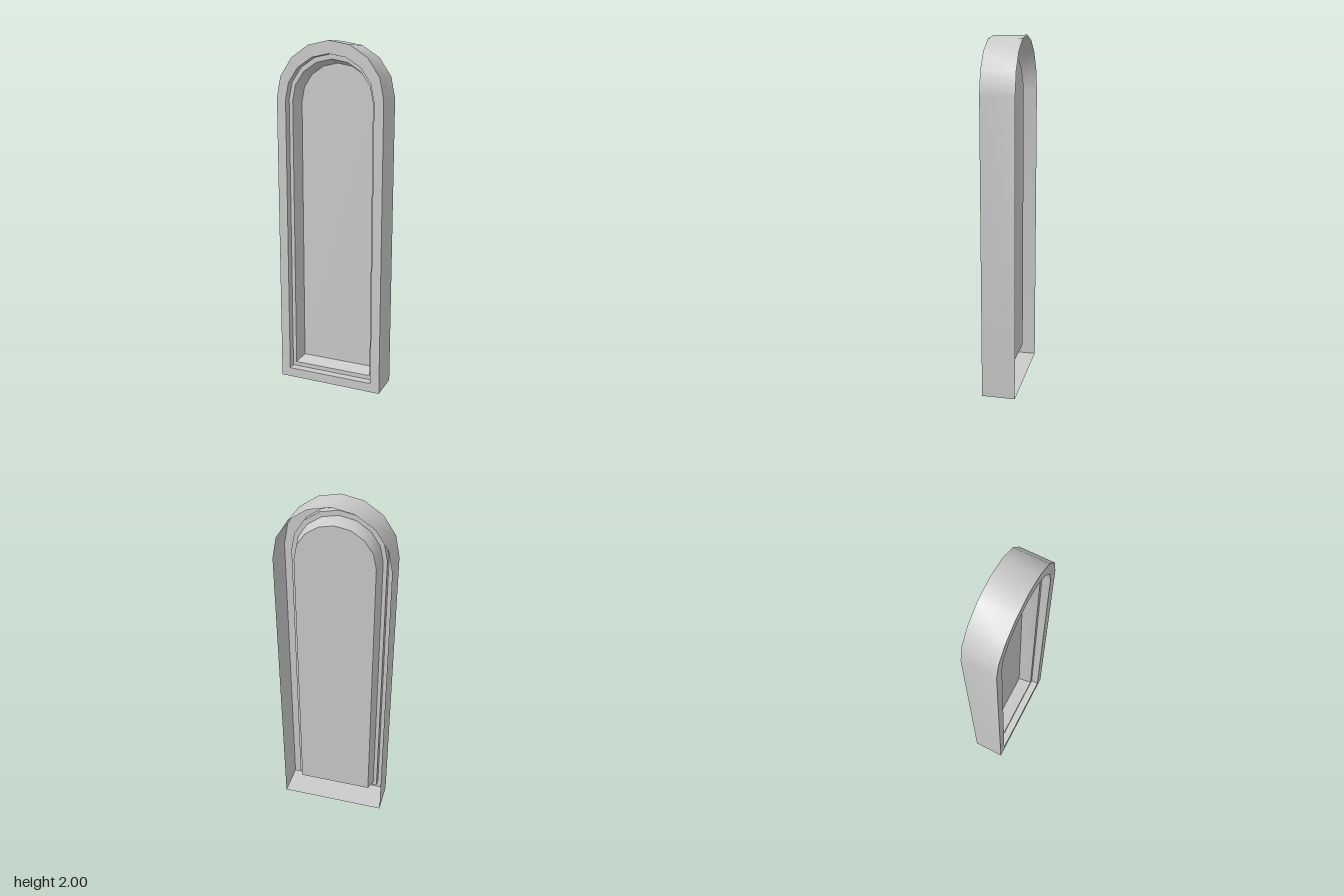
import * as THREE from 'three';
import { toCreasedNormals } from 'three/addons/utils/BufferGeometryUtils.js';

const SEGMENTS = 8;
const material = new THREE.MeshStandardMaterial({ color: 0xcccccc, side: THREE.DoubleSide });

// Arched outline, counter-clockwise from the lower left corner
function archOutline({ halfWidth, bottom, spring, top }) {
  const points = [new THREE.Vector2(-halfWidth, bottom), new THREE.Vector2(halfWidth, bottom)];
  for (let i = 0; i <= SEGMENTS; i++) {
    const a = (Math.PI * i) / SEGMENTS;
    points.push(new THREE.Vector2(halfWidth * Math.cos(a), spring + (top - spring) * Math.sin(a)));
  }
  return points;
}

// Skin joining a series of outlines, each at its own depth
function loftMesh(name, sections) {
  const positions = [];
  const indices = [];
  const n = SEGMENTS + 3;
  sections.forEach(({ arch, z }, k) => {
    archOutline(arch).forEach((p, i) => {
      positions.push(p.x, p.y, z);
      if (k === sections.length - 1) return;
      const a = k * n + i;
      const b = k * n + ((i + 1) % n);
      indices.push(a, b, b + n, a, b + n, a + n);
    });
  });
  const geometry = new THREE.BufferGeometry();
  geometry.setAttribute('position', new THREE.Float32BufferAttribute(positions, 3));
  geometry.setIndex(indices);
  const mesh = new THREE.Mesh(toCreasedNormals(geometry, 0.5), material);
  mesh.name = name;
  return mesh;
}

export function createModel() {
  const group = new THREE.Group();
  group.name = 'archedWindow';

  const outer = { halfWidth: 0.316, bottom: 0, spring: 1.69, top: 2 };
  const rim = { halfWidth: 0.262, bottom: 0.055, spring: 1.68, top: 1.93 };
  const step = { halfWidth: 0.24, bottom: 0.08, spring: 1.672, top: 1.902 };
  const pane = { halfWidth: 0.222, bottom: 0.1, spring: 1.667, top: 1.88 };
  const front = 0.095;
  const stepZ = 0.05;
  const paneZ = -0.033;

  // Thin outer shell, open at the back, with the flat front face
  group.add(loftMesh('frameShell', [
    { arch: outer, z: -front },
    { arch: outer, z: front },
    { arch: rim, z: front },
  ]));

  // Stepped recess leading back to the pane
  group.add(loftMesh('innerMoulding', [
    { arch: rim, z: front },
    { arch: rim, z: stepZ },
    { arch: step, z: stepZ },
    { arch: pane, z: paneZ },
  ]));

  // Flat pane closing the recess
  const panel = new THREE.Mesh(new THREE.ShapeGeometry(new THREE.Shape(archOutline(pane))), material);
  panel.name = 'pane';
  panel.position.z = paneZ;
  group.add(panel);

  return group;
}
